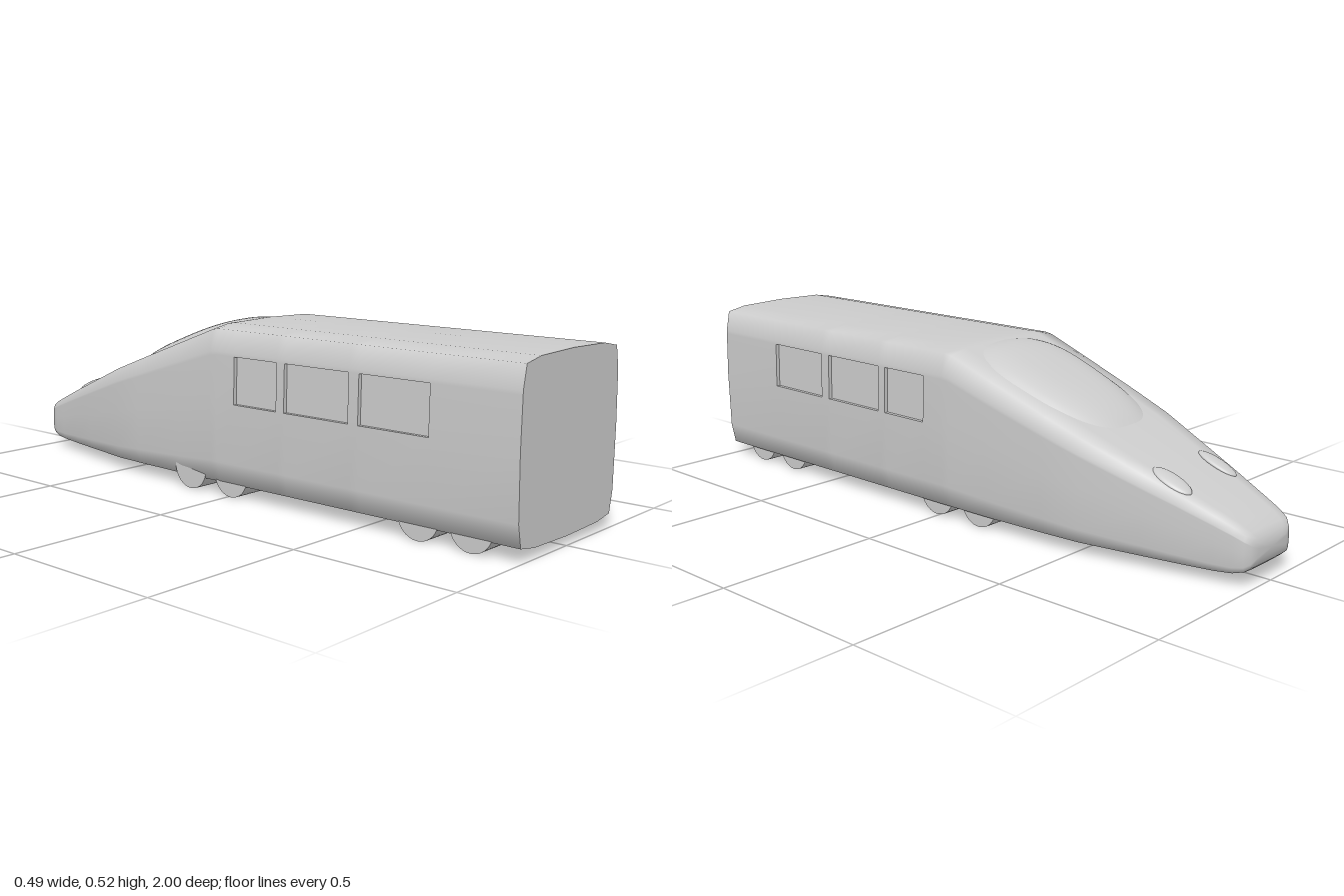
import * as THREE from 'three';

const grey = new THREE.MeshStandardMaterial({ color: 0xcccccc });
const greyDouble = new THREE.MeshStandardMaterial({ color: 0xcccccc, side: THREE.DoubleSide });

// Half cross-section from roof centre to floor centre: [x / half width, height fraction]
const half = [[0, 1], [0.66, 0.992], [0.93, 0.967], [0.985, 0.835], [0.9855, 0.8126],
  [1, 0.5275], [0.985, 0.16], [0.93, 0.03], [0.66, 0.008], [0, 0]];
const section = [...half, ...half.slice(1, -1).reverse().map(([x, y]) => [-x, y])];
const N = section.length;
const WINDOW_COLUMNS = [4, 13]; // section edges that hold the windows

const windows = [[0.73, 0.5], [0.465, 0.235], [0.205, 0.04]]; // z ranges
const FULL = [0.243, 0.026, 0.517];

// Stations along the body: [z, half width, bottom, top]
const stations = [
  [1, ...FULL],
  ...windows.flat().map(z => [z, ...FULL]),
  [-0.035, 0.243, 0.026, 0.517],
  [-0.06, 0.242, 0.026, 0.513],
  [-0.2, 0.237, 0.026, 0.46],
  [-0.4, 0.225, 0.027, 0.385],
  [-0.52, 0.213, 0.027, 0.34],
  [-0.7, 0.175, 0.028, 0.267],
  [-0.8, 0.152, 0.028, 0.227],
  [-0.9, 0.129, 0.029, 0.185],
  [-0.95, 0.118, 0.033, 0.163],
  [-0.98, 0.109, 0.042, 0.145],
  [-0.993, 0.095, 0.054, 0.13],
  [-1, 0.07, 0.075, 0.112],
];

function point([z, w, bottom, top], j) {
  const [x, y] = section[j % N];
  return [x * w, bottom + y * (top - bottom), z];
}

function geometryFrom(positions, index) {
  const g = new THREE.BufferGeometry();
  g.setAttribute('position', new THREE.Float32BufferAttribute(positions, 3));
  if (index) g.setIndex(index);
  g.computeVertexNormals();
  return g;
}

// Lofted shell, open where the windows sit, closed at the nose
function bodyGeometry() {
  const pos = [], index = [];
  stations.forEach(s => { for (let j = 0; j < N; j++) pos.push(...point(s, j)); });
  for (let i = 0; i < stations.length - 1; i++) {
    const isWindow = windows.some(([z]) => z === stations[i][0]);
    for (let j = 0; j < N; j++) {
      if (isWindow && WINDOW_COLUMNS.includes(j)) continue;
      const a = i * N + j, b = i * N + (j + 1) % N;
      index.push(a, b, a + N, b, b + N, a + N);
    }
  }
  const last = (stations.length - 1) * N, tip = stations.length * N;
  pos.push(0, 0.094, -1);
  for (let j = 0; j < N; j++) index.push(tip, last + j, last + (j + 1) % N);
  return geometryFrom(pos, index);
}

// Recessed pane with its four reveal walls
function windowGeometry([z0, z1], column, depth = 0.012) {
  const outer = [[z0, 0], [z0, 1], [z1, 1], [z1, 0]].map(([z, k]) => point([z, ...FULL], column + k));
  const inner = outer.map(([x, y, z]) => [x - Math.sign(x) * depth, y, z]);
  const pos = [];
  const quad = (a, b, c, d) => [a, b, c, a, c, d].forEach(p => pos.push(...p));
  quad(...inner);
  for (let k = 0; k < 4; k++) {
    const n = (k + 1) % 4;
    quad(outer[k], outer[n], inner[n], inner[k]);
  }
  return geometryFrom(pos);
}

// Height of the upper hull at a given x, z
function hullTop(x, z) {
  const i = Math.max(1, stations.findIndex(s => s[0] <= z));
  const a = stations[i - 1], b = stations[i];
  const t = (z - a[0]) / (b[0] - a[0]);
  const [w, bottom, top] = [1, 2, 3].map(k => a[k] + (b[k] - a[k]) * t);
  const u = Math.min(Math.abs(x) / w, 0.98);
  const k = Math.max(1, half.findIndex(p => p[0] >= u));
  const [p, q] = [half[k - 1], half[k]];
  const y = p[1] + (q[1] - p[1]) * (u - p[0]) / (q[0] - p[0]);
  return bottom + y * (top - bottom);
}

// Domed windscreen following the sloping hull, built in rings from its centre
function canopyGeometry() {
  const rings = 14, segs = 56, pos = [], index = [];
  const soft = v => Math.sign(v) * Math.pow(Math.abs(v), 0.7);
  for (let i = 0; i <= rings; i++) {
    const r = i / rings;
    for (let j = 0; j < segs; j++) {
      const a = j / segs * Math.PI * 2;
      const dz = soft(Math.sin(a)) * r;
      const x = soft(Math.cos(a)) * r * (0.17 + 0.02 * dz);
      const z = -0.3 + 0.24 * dz;
      pos.push(x, hullTop(x, z) - 0.002 + 0.03 * (1 - r ** 4), z);
      if (i < rings) {
        const p = i * segs + j, q = i * segs + (j + 1) % segs;
        index.push(p, q, p + segs, q, q + segs, p + segs);
      }
    }
  }
  return geometryFrom(pos, index);
}

export function createModel() {
  const model = new THREE.Group();
  const add = (name, geometry, material = grey) => {
    const mesh = new THREE.Mesh(geometry, material);
    mesh.name = name;
    model.add(mesh);
    return mesh;
  };

  add('body', bodyGeometry());

  // Flat end wall
  const outline = section.map((_, j) => new THREE.Vector2(...point(stations[0], j).slice(0, 2)));
  add('endWall', new THREE.ShapeGeometry(new THREE.Shape(outline))).position.z = 1;

  windows.forEach(range => WINDOW_COLUMNS.forEach(column =>
    add('window', windowGeometry(range, column), greyDouble)));

  add('canopy', canopyGeometry());

  // Headlight bumps lying on the nose slope
  for (const side of [-1, 1]) {
    const light = add('headlight', new THREE.SphereGeometry(1, 24, 16));
    light.scale.set(0.03, 0.012, 0.065);
    light.position.set(side * 0.108, hullTop(0.108, -0.755) - 0.001, -0.755);
    light.rotation.set(-0.38, 0, -side * 0.12);
  }

  // Full-width wheel rollers
  for (const z of [0.855, 0.69, 0.01, -0.16]) {
    const wheel = add('wheel', new THREE.CylinderGeometry(0.0655, 0.0655, 0.443, 40));
    wheel.rotation.z = Math.PI / 2;
    wheel.position.set(-0.005, 0.0655, z);
  }
  return model;
}
